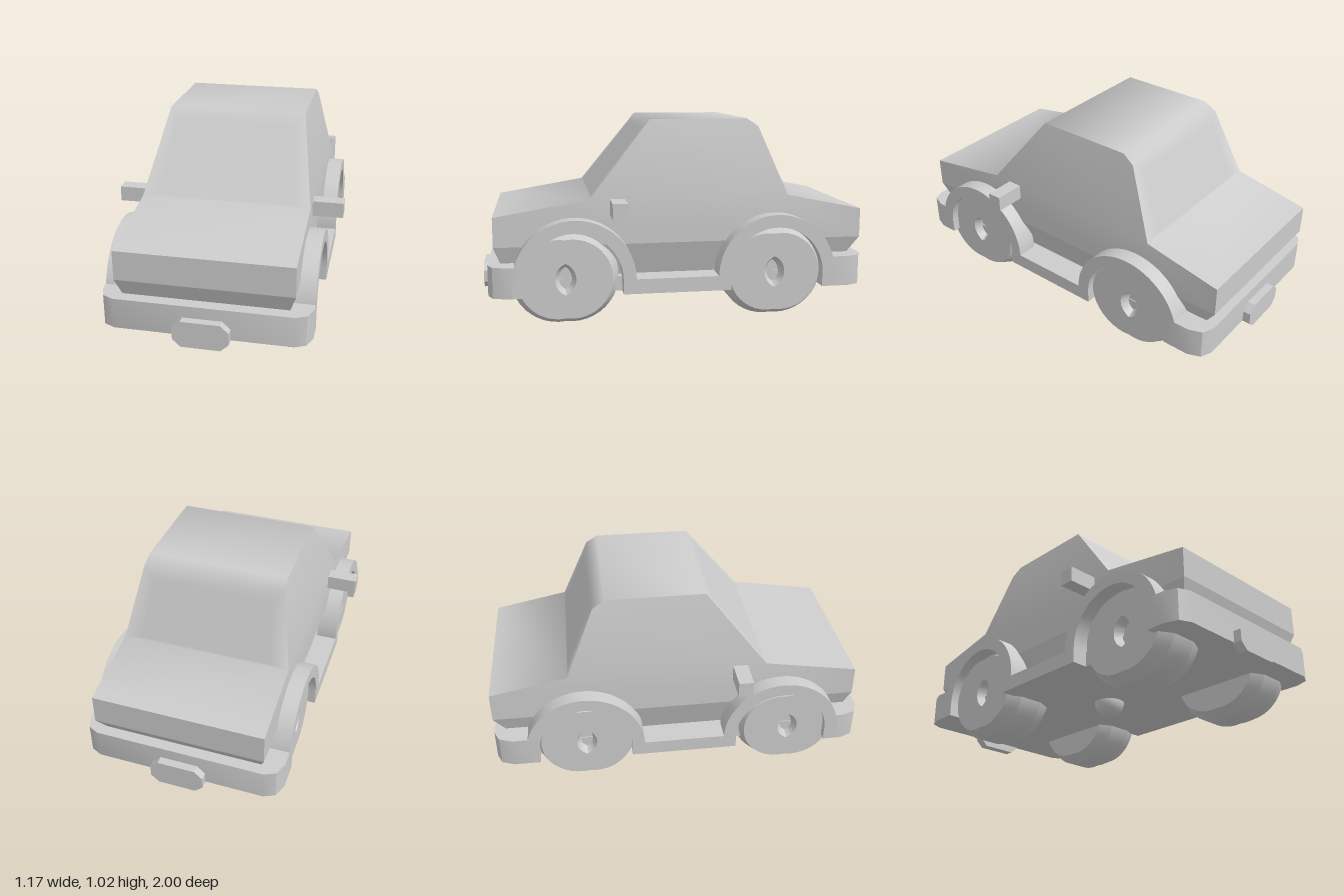
import * as THREE from 'three';
import { mergeGeometries, toCreasedNormals } from 'three/addons/utils/BufferGeometryUtils.js';

const grey = new THREE.MeshStandardMaterial({ color: 0xcccccc });
grey.name = 'plain grey';

export function createModel() {
  const car = new THREE.Group();
  car.name = 'toyCar';
  const add = (name, geo, x = 0, y = 0, z = 0) => {
    const m = new THREE.Mesh(geo, grey);
    m.name = name;
    m.position.set(x, y, z);
    car.add(m);
    return m;
  };

  // Upper body and cabin: convex panels facing away from a point inside
  const tris = [];
  const inside = new THREE.Vector3(0, 0.55, 0);
  const panel = (pts) => {
    const p = pts.map((a) => new THREE.Vector3(...a));
    const n = p[1].clone().sub(p[0]).cross(p[2].clone().sub(p[0]));
    if (n.dot(p[0].clone().sub(inside)) < 0) p.reverse();
    for (let i = 1; i < p.length - 1; i++) {
      for (const v of [p[0], p[i], p[i + 1]]) tris.push(v.x, v.y, v.z);
    }
  };
  const halfWidth = (y) => 0.43 - (Math.max(y - 0.63, 0) * 0.075) / 0.39;
  const outline = [ // z, y
    [0.93, 0.40], [0.93, 0.55], [0.45, 0.63], [0.14, 1.02], [-0.36, 1.02],
    [-0.42, 0.98], [-0.565, 0.63], [-0.96, 0.55], [-0.96, 0.40],
  ];
  const insets = { // low y, high y, low half width, high half width
    2: [0.64, 0.97, 0.35, 0.305],
    5: [0.93, 0.64, 0.30, 0.34],
  };
  outline.forEach(([z0, y0], i) => {
    const [z1, y1] = outline[(i + 1) % outline.length];
    const a = halfWidth(y0), b = halfWidth(y1);
    const outer = [[-a, y0, z0], [a, y0, z0], [b, y1, z1], [-b, y1, z1]];
    if (!insets[i]) return panel(outer);
    // window with its surrounding frame
    const [ya, yb, wa, wb] = insets[i];
    const zAt = (y) => z0 + ((z1 - z0) * (y - y0)) / (y1 - y0);
    const inner = [[-wa, ya, zAt(ya)], [wa, ya, zAt(ya)], [wb, yb, zAt(yb)], [-wb, yb, zAt(yb)]];
    panel(inner);
    for (let k = 0; k < 4; k++) {
      const j = (k + 1) % 4;
      panel([outer[k], outer[j], inner[j], inner[k]]);
    }
  });
  const lower = [0, 1, 2, 6, 7, 8], upper = [2, 3, 4, 5, 6];
  for (const s of [-1, 1]) {
    for (const ids of [lower, upper]) {
      panel(ids.map((i) => [s * halfWidth(outline[i][1]), outline[i][1], outline[i][0]]));
    }
  }
  const shell = new THREE.BufferGeometry();
  shell.setAttribute('position', new THREE.Float32BufferAttribute(tris, 3));
  add('bodyAndCabin', toCreasedNormals(shell, 1.12));

  // Skirt tapering in below the body
  const skirt = new THREE.BoxGeometry(2, 2, 2);
  const sp = skirt.attributes.position;
  for (let i = 0; i < sp.count; i++) {
    const top = sp.getY(i) > 0;
    const zs = top ? [0.93, -0.96] : [0.87, -0.85];
    sp.setXYZ(i, Math.sign(sp.getX(i)) * (top ? 0.43 : 0.375), top ? 0.40 : 0.235, sp.getZ(i) > 0 ? zs[0] : zs[1]);
  }
  add('skirt', toCreasedNormals(skirt, 0.2));

  // Floor, sills and bumpers
  add('floor', new THREE.BoxGeometry(0.86, 0.075, 1.8), 0, 0.1975, 0);
  add('sills', new THREE.BoxGeometry(1.02, 0.075, 0.54), 0, 0.1975, 0.025);
  for (const [name, s, back] of [['frontBumper', 1, 0.78], ['rearBumper', -1, 0.735]]) {
    const plan = new THREE.Shape([
      [-0.51, back], [0.51, back], [0.51, 0.87], [0.485, 0.935], [0.43, 0.96],
      [-0.43, 0.96], [-0.485, 0.935], [-0.51, 0.87],
    ].map((p) => new THREE.Vector2(...p)));
    const g = new THREE.ExtrudeGeometry(plan, { depth: 0.155, bevelEnabled: false });
    g.rotateX(Math.PI / 2);
    if (s < 0) g.rotateY(Math.PI);
    add(name, toCreasedNormals(g, 0.6), 0, 0.315, 0);
    // Eight-sided plate on the bumper
    const plate = new THREE.Shape([
      [-0.135, -0.03], [-0.095, -0.067], [0.095, -0.067], [0.135, -0.03],
      [0.135, 0.03], [0.095, 0.067], [-0.095, 0.067], [-0.135, 0.03],
    ].map((p) => new THREE.Vector2(...p)));
    const pg = new THREE.ExtrudeGeometry(plate, { depth: 0.05, bevelEnabled: false });
    const m = add(name + 'Plate', pg, 0, 0.188, s * 0.95);
    if (s < 0) m.rotation.y = Math.PI;
  }

  // Wheel arch: half ring with short straight legs
  const arch = new THREE.Shape();
  arch.moveTo(0.305, -0.075);
  arch.lineTo(0.305, 0);
  arch.absarc(0, 0, 0.305, 0, Math.PI, false);
  arch.lineTo(-0.305, -0.075);
  arch.lineTo(-0.24, -0.075);
  arch.lineTo(-0.24, 0);
  arch.absarc(0, 0, 0.24, Math.PI, 0, true);
  arch.lineTo(0.24, -0.075);
  const archGeo = new THREE.ExtrudeGeometry(arch, { depth: 0.11, bevelEnabled: false, curveSegments: 24 });
  archGeo.rotateY(Math.PI / 2);
  const archSmooth = toCreasedNormals(archGeo, 0.6);

  // Wheel: chamfered tyre with dished hub, doubled with a small offset
  const profile = [
    [0, -0.135], [0.205, -0.135], [0.237, -0.065], [0.237, 0.065], [0.202, 0.135],
    [0.087, 0.135], [0.065, 0.09], [0, 0.09],
  ].map((p) => new THREE.Vector2(...p));
  const one = new THREE.LatheGeometry(profile, 40).rotateZ(-Math.PI / 2);
  const pair = mergeGeometries([one.clone().translate(0, 0, 0.034), one.clone().translate(0, 0, -0.034)]);
  const wheelGeo = toCreasedNormals(pair, 0.35);

  for (const [side, s] of [['left', 1], ['right', -1]]) {
    for (const [end, archZ, wheelZ] of [['Front', 0.535, 0.58], ['Rear', -0.495, -0.49]]) {
      add(side + end + 'Arch', archSmooth, s > 0 ? 0.40 : -0.51, 0.235, archZ);
      const w = add(side + end + 'Wheel', wheelGeo, s * 0.335, 0.237, wheelZ);
      if (s < 0) w.rotation.y = Math.PI;
    }
    add(side + 'Mirror', new THREE.BoxGeometry(0.175, 0.078, 0.075), s * 0.4975, 0.59, 0.315);
  }

  // Round knob under the floor
  add('underKnob', new THREE.SphereGeometry(0.078, 24, 16), 0, 0.16, 0.02);

  return car;
}
